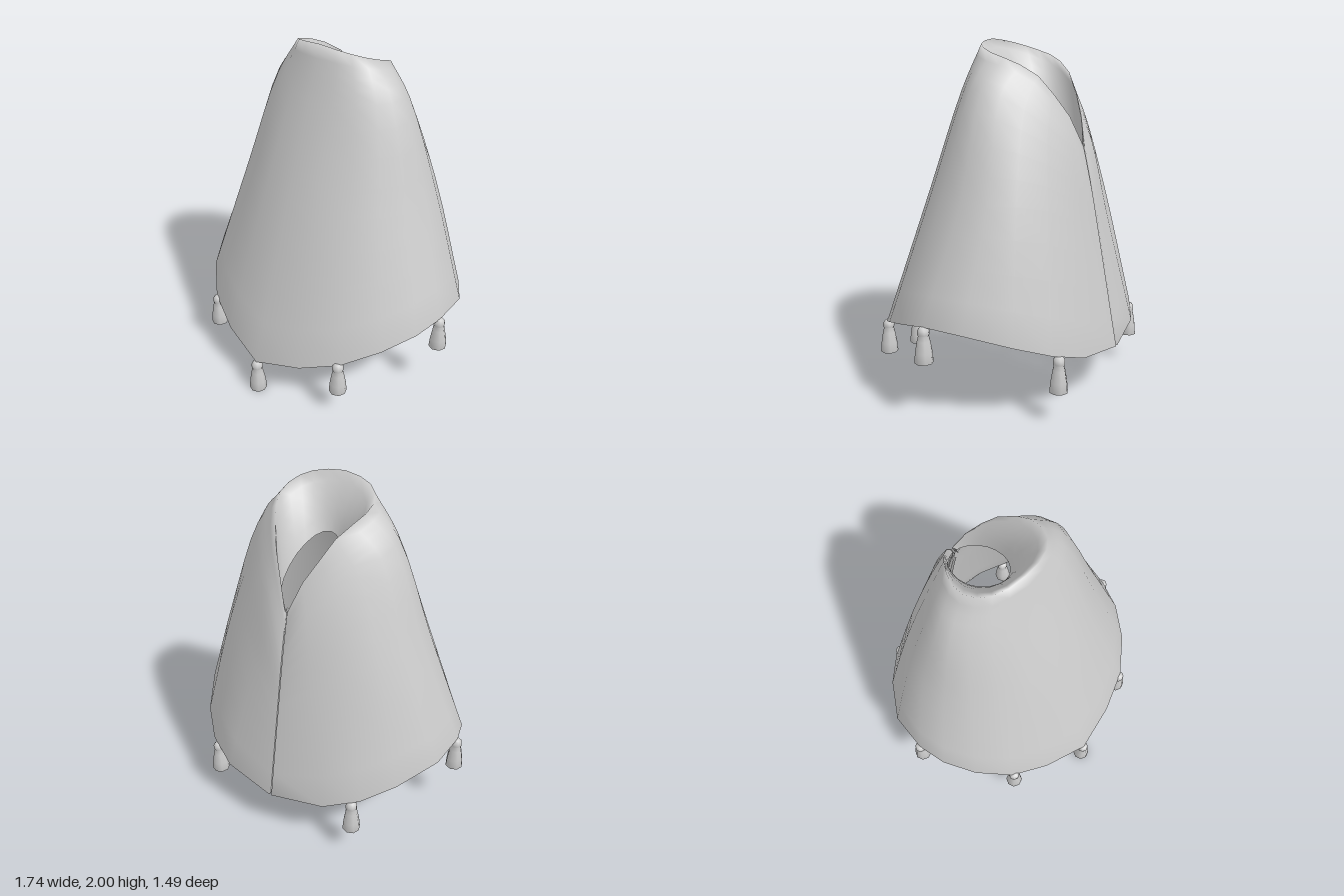
import * as THREE from 'three';

const fabric = new THREE.MeshStandardMaterial({ color: 0xcccccc, side: THREE.DoubleSide });
fabric.name = 'light grey fabric';

// Half rings of the cape, from front centre round to the back slit
const HEM = [
  [0, 0.2, 0.7], [0.28, 0.265, 0.63], [0.5, 0.345, 0.53], [0.67, 0.43, 0.37], [0.78, 0.49, 0.19],
  [0.825, 0.525, 0.02], [0.81, 0.52, -0.22], [0.67, 0.45, -0.45], [0.52, 0.385, -0.6],
  [0.33, 0.325, -0.695], [0.007, 0.285, -0.742],
];
const SHOULDER = [
  [0, 1.7, 0.192], [0.14, 1.72, 0.165], [0.265, 1.73, 0.125], [0.35, 1.74, 0.05], [0.4, 1.74, -0.02],
  [0.415, 1.74, -0.1], [0.39, 1.71, -0.2], [0.32, 1.64, -0.31], [0.235, 1.55, -0.405],
  [0.12, 1.43, -0.5], [0.007, 1.17, -0.567],
];
const RIDGE = [
  [0, 2.0, 0.09], [0.1, 1.99, 0.08], [0.18, 1.975, 0.05], [0.235, 1.955, 0], [0.265, 1.93, -0.07],
  [0.265, 1.905, -0.15], [0.235, 1.87, -0.23], [0.185, 1.81, -0.315], [0.135, 1.71, -0.385],
  [0.07, 1.59, -0.45], [0.007, 1.42, -0.508],
];
const LAST = HEM.length - 1;
const THICKNESS = 0.018;

// One vertical strip: lining from shoulder to hem, outer body, collar rolled inwards
function columnPoints(k) {
  const [hem, shoulder, ridge] = [HEM, SHOULDER, RIDGE].map((ring) => new THREE.Vector3(...ring[k]));
  const sin = Math.sin((k / LAST) * Math.PI);
  const cos = Math.cos((k / LAST) * Math.PI);
  // elliptical waist, dropping towards the slit, and a tilted oval neck opening
  const drop = 0.3 * Math.max(0, (k - 6) / 4) ** 3;
  const waist = new THREE.Vector3(Math.max(hem.x && 0.007, 0.615 * sin), 1.16 - drop, -0.09 + 0.47 * cos - 0.23 * drop);
  const inner = new THREE.Vector3(Math.max(hem.x && 0.007, 0.132 * sin), 1.55 + 0.15 * cos, -0.275 + 0.215 * cos);

  const body = new THREE.CatmullRomCurve3([hem, waist, shoulder, ridge]).getPoints(12);
  const lining = body.slice(0, -2).reverse().map((p) => {
    const inward = new THREE.Vector3(-p.x, 0, -0.1 - p.z).setLength(THICKNESS);
    return p.clone().add(inward);
  });
  const bend = ridge.clone().lerp(inner, 0.5).lerp(new THREE.Vector3(inner.x, ridge.y, inner.z), 0.25);
  const collar = new THREE.QuadraticBezierCurve3(ridge, bend, inner).getPoints(5).slice(1);
  return [...lining, ...body, ...collar];
}

function capeGeometry() {
  const half = HEM.map((_, k) => columnPoints(k));
  // the slit edge is turned inwards
  half.push(half[LAST].map((p) => p.clone().add(new THREE.Vector3(0.004, 0.01, 0.03))));
  const mirrored = half.slice(1).reverse()
    .map((column) => column.map((p) => new THREE.Vector3(-p.x, p.y, p.z)));
  const columns = [...mirrored, ...half];
  const rows = half[0].length;
  const index = [];
  for (let c = 0; c < columns.length - 1; c++) {
    for (let r = 0; r < rows - 1; r++) {
      const a = c * rows + r;
      const b = a + rows;
      index.push(a, b, a + 1, b, b + 1, a + 1);
    }
  }
  const geometry = new THREE.BufferGeometry().setFromPoints(columns.flat());
  geometry.setIndex(index);
  geometry.computeVertexNormals();
  return geometry;
}

// Flared skirt, pinched neck and round knot, hanging below the origin
function tasselGeometry() {
  const profile = [
    [0, -0.185], [0.042, -0.192], [0.052, -0.198], [0.047, -0.14], [0.036, -0.075],
    [0.029, -0.048], [0.034, -0.038], [0.033, -0.015], [0.02, 0], [0, 0.003],
  ];
  return new THREE.LatheGeometry(profile.map((p) => new THREE.Vector2(...p)), 8);
}

export function createModel() {
  const group = new THREE.Group();
  group.name = 'tasselledCape';

  const cape = new THREE.Mesh(capeGeometry(), fabric);
  cape.name = 'cape';
  group.add(cape);

  // Tassels along the hem
  const tassel = tasselGeometry();
  const addTassel = (name, x, y, z) => {
    const mesh = new THREE.Mesh(tassel, fabric);
    mesh.name = name;
    mesh.position.set(x, y, z);
    group.add(mesh);
  };
  addTassel('frontTassel', 0, 0.198, 0.692);
  for (const [side, s] of [['left', 1], ['right', -1]]) {
    addTassel(`${side}FrontTassel`, s * 0.487, 0.35, 0.53);
    addTassel(`${side}SideTassel`, s * 0.82, 0.525, 0.015);
    addTassel(`${side}BackTassel`, s * 0.475, 0.37, -0.615);
  }
  return group;
}
